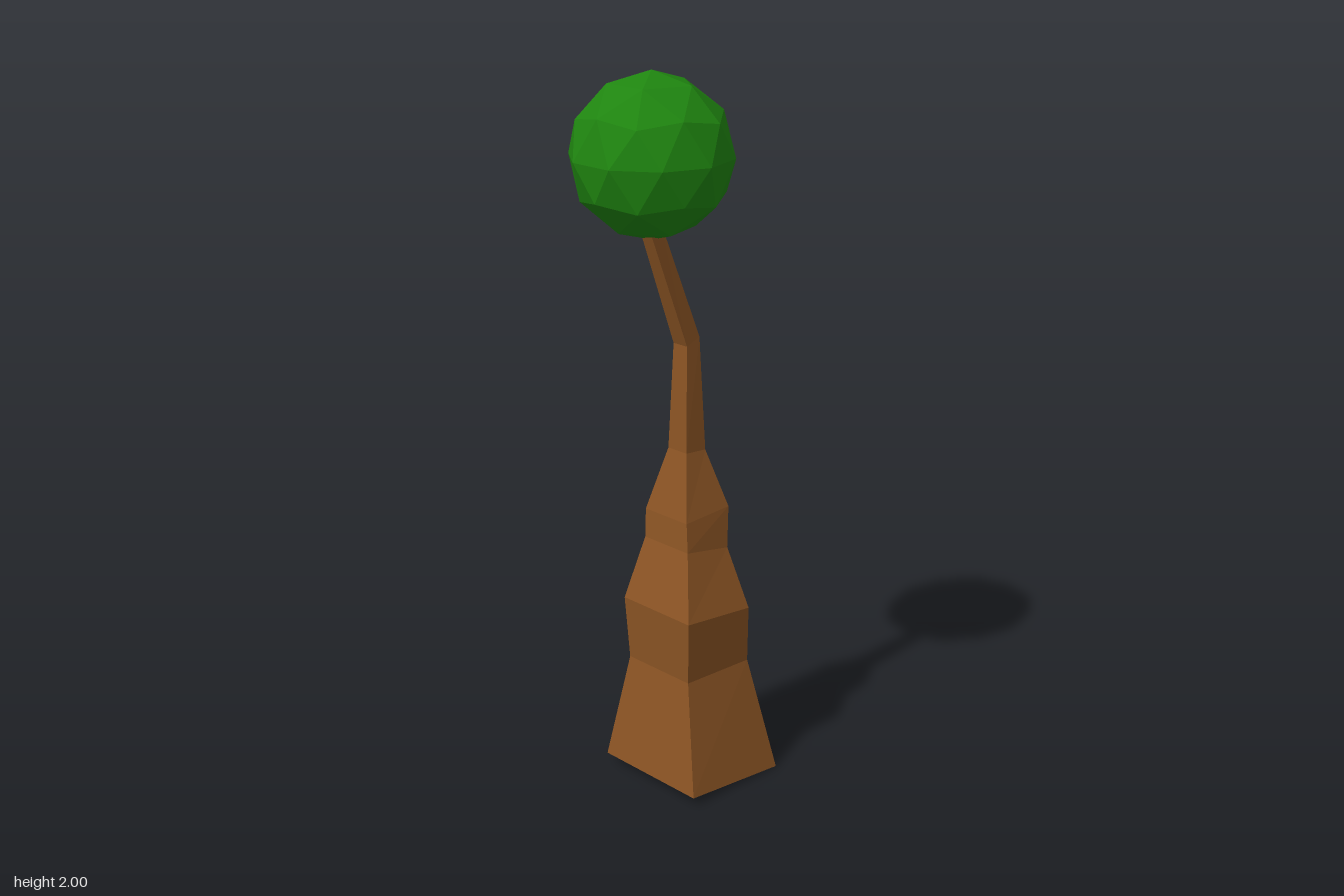
import * as THREE from 'three';

// Trunk rings: [yLeftEdge, yRightEdge, xLeft, xRightFront, xRightBack, zFront, zBack]
const RINGS = [
  [0.025, 0.0, -0.113, 0.22, 0.214, 0.25, -0.11],
  [0.33, 0.325, -0.055, 0.18, 0.185, 0.166, -0.073],
  [0.515, 0.495, -0.066, 0.17, 0.195, 0.178, -0.083],
  [0.69, 0.665, -0.005, 0.15, 0.165, 0.11, -0.062],
  [0.77, 0.78, 0.005, 0.168, 0.17, 0.095, -0.07],
  [0.95, 0.945, 0.055, 0.128, 0.13, 0.041, -0.031],
  [1.25, 1.27, 0.073, 0.12, 0.122, 0.023, -0.03],
  [1.6, 1.61, -0.056, -0.014, -0.014, 0.01, -0.03],
];

// Four-sided trunk lofted through the rings, capped at both ends
function trunkGeometry() {
  const pos = [];
  const idx = [];
  RINGS.forEach(([yl, yr, xl, xf, xb, zf, zb], i) => {
    const lift = i === 0 ? 0.03 : 0; // the base tips up towards the back
    pos.push(xl, yl, zf, xf, yr, zf, xb, yr + lift, zb + lift * 0.4, xl, yl, zb);
    if (i === 0) return;
    for (let j = 0; j < 4; j++) {
      const k = (j + 1) % 4;
      const a = (i - 1) * 4 + j, b = (i - 1) * 4 + k;
      const c = i * 4 + k, d = i * 4 + j;
      idx.push(a, b, c, a, c, d);
    }
  });
  const t = (RINGS.length - 1) * 4;
  idx.push(0, 3, 2, 0, 2, 1, t, t + 1, t + 2, t, t + 2, t + 3);
  const geo = new THREE.BufferGeometry();
  geo.setAttribute('position', new THREE.Float32BufferAttribute(pos, 3));
  geo.setIndex(idx);
  const flat = geo.toNonIndexed();
  flat.computeVertexNormals();
  return flat;
}

export function createModel() {
  const group = new THREE.Group();
  group.name = 'tree';

  const trunk = new THREE.Mesh(
    trunkGeometry(),
    new THREE.MeshStandardMaterial({ color: 0x8b5424, flatShading: true })
  );
  trunk.name = 'trunk';
  group.add(trunk);

  // Faceted ball of leaves, turned so one vertex points straight up
  const ball = new THREE.IcosahedronGeometry(0.224, 1);
  ball.rotateZ(-Math.atan(2 / (1 + Math.sqrt(5))));
  const foliage = new THREE.Mesh(
    ball,
    new THREE.MeshStandardMaterial({ color: 0x1f8510, flatShading: true })
  );
  foliage.name = 'foliage';
  foliage.position.set(-0.009, 1.777, -0.029);
  group.add(foliage);

  return group;
}
